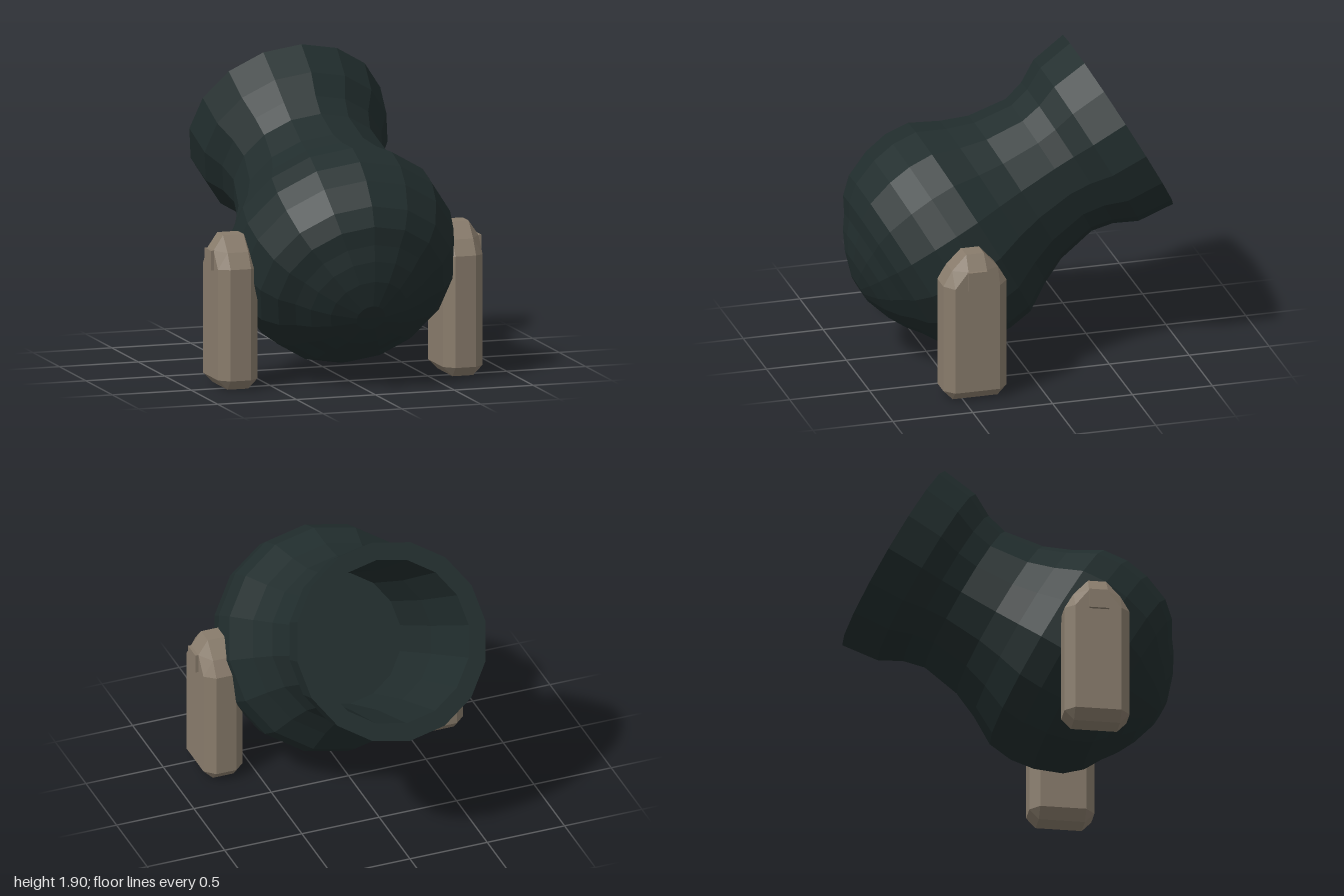
import * as THREE from 'three';
import { ConvexGeometry } from 'three/addons/geometries/ConvexGeometry.js';

const iron = new THREE.MeshStandardMaterial({ color: 0x212d2d, flatShading: true });
iron.name = 'dark iron';
const timber = new THREE.MeshStandardMaterial({ color: 0x897c6c, flatShading: true });
timber.name = 'weathered timber';

// Turned barrel: [radius, distance behind the muzzle], breech to rim, then down the bore
function makeBarrel() {
  const profile = [
    [0, 1.86], [0.09, 1.858], [0.24, 1.808], [0.35, 1.75], [0.43, 1.69], [0.525, 1.635],
    [0.608, 1.54], [0.672, 1.375], [0.695, 1.225], [0.678, 1.07], [0.583, 0.904],
    [0.514, 0.742], [0.475, 0.498], [0.507, 0.366], [0.58, 0.23], [0.609, 0],
    [0.5, 0], [0.43, 0.5], [0.4, 1.0], [0, 1.0],
  ].map(([r, t]) => new THREE.Vector2(r, -t));
  const barrel = new THREE.Mesh(new THREE.LatheGeometry(profile, 16), iron);
  barrel.name = 'barrel';
  barrel.position.set(0, 1.37, -0.7);
  barrel.rotation.x = THREE.MathUtils.degToRad(-60.5);
  return barrel;
}

// Chamfered post: a wide middle outline and a smaller outline on both side faces, as [z, y]
function makePost() {
  const middle = [
    [0.198, 0.06], [0.198, 0.74], [0.143, 0.835], [0.055, 0.93], [0.14, 0],
  ];
  const face = [[0.14, 0.06], [0.14, 0.735], [0.058, 0.84]];
  const points = [];
  for (const [outline, halfWidth] of [[middle, 0.065], [face, 0.126]]) {
    for (const [z, y] of outline) {
      for (const sx of [-1, 1]) {
        for (const sz of [-1, 1]) points.push(new THREE.Vector3(sx * halfWidth, y, sz * z));
      }
    }
  }
  const post = new THREE.Mesh(new ConvexGeometry(points), timber);
  post.name = 'post';
  return post;
}

// Square trunnion pin through the post
function makePin(side) {
  const pin = new THREE.Mesh(new THREE.BoxGeometry(0.24, 0.12, 0.12), timber);
  pin.name = 'trunnionPin';
  pin.position.set(side * 0.025, 0.78, 0.003);
  return pin;
}

export function createModel() {
  const model = new THREE.Group();
  model.name = 'mortar';
  model.add(makeBarrel());

  for (const [name, side, x] of [['leftSupport', 1, 0.702], ['rightSupport', -1, -0.724]]) {
    const support = new THREE.Group();
    support.name = name;
    support.position.set(x, 0, 0.418);
    support.add(makePost(), makePin(side));
    model.add(support);
  }
  return model;
}
